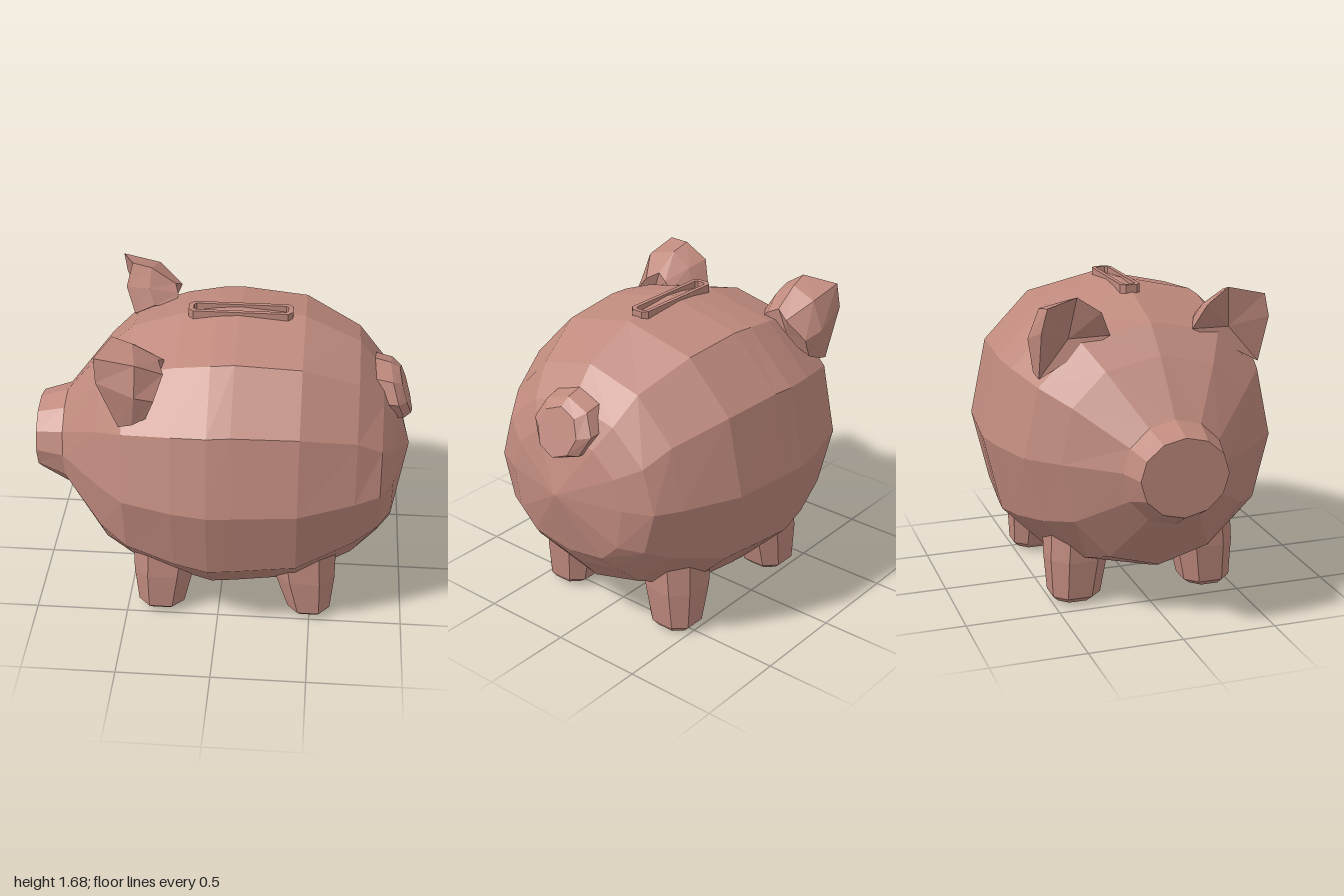
import * as THREE from 'three';

const pink = new THREE.MeshStandardMaterial({ color: 0xc08a7e, flatShading: true });

// Faceted loft through rings of [x, y, z]; each ring runs anticlockwise seen from the end side.
function loft(name, rings, startCentre, endCentre) {
  const pos = [];
  const tri = (a, b, c) => pos.push(...a, ...b, ...c);
  const n = rings[0].length;
  for (let j = 0; j < n; j++) {
    const k = (j + 1) % n;
    for (let i = 0; i < rings.length - 1; i++) {
      const a = rings[i], b = rings[i + 1];
      tri(a[j], a[k], b[j]);
      tri(a[k], b[k], b[j]);
    }
    const last = rings[rings.length - 1];
    if (startCentre) tri(startCentre, rings[0][k], rings[0][j]);
    if (endCentre) tri(endCentre, last[j], last[k]);
  }
  const geo = new THREE.BufferGeometry();
  geo.setAttribute('position', new THREE.Float32BufferAttribute(pos, 3));
  geo.computeVertexNormals();
  const mesh = new THREE.Mesh(geo, pink);
  mesh.name = name;
  return mesh;
}

const angles = (n) => Array.from({ length: n }, (_, i) => (i / n) * Math.PI * 2);
const power = (v, p) => (Math.abs(v) < 1e-6 ? 0 : Math.sign(v) * Math.abs(v) ** p);

// Body and snout: 12-sided sections along x, each
// [x, half width, top, bottom, upper roundness, lower roundness]; below 1 is boxier
function body() {
  const mid = 0.86;
  const sections = [
    [-1.0, 0.23, 1.06, 0.65, 1, 1],
    [-0.85, 0.27, 1.11, 0.56, 1, 1],
    [-0.63, 0.52, 1.38, 0.26, 0.86, 0.95],
    [-0.48, 0.67, 1.52, 0.2, 0.86, 0.95],
    [-0.22, 0.75, 1.605, 0.12, 0.88, 0.92],
    [-0.04, 0.78, 1.635, 0.07, 0.88, 0.92],
    [0.08, 0.77, 1.645, 0.08, 0.88, 0.92],
    [0.42, 0.735, 1.615, 0.12, 0.88, 0.92],
    [0.71, 0.60, 1.48, 0.25, 0.95, 1],
    [0.84, 0.52, 1.32, 0.40, 1, 0.95],
    [0.91, 0.37, 1.18, 0.5, 1, 0.7],
  ];
  const rings = sections.map(([x, w, top, bottom, up, low]) => angles(12).map((a) => {
    const c = Math.cos(a), p = c > 0 ? up : low;
    return [x, mid + power(c, p) * (c > 0 ? top - mid : mid - bottom), w * power(Math.sin(a), p)];
  }));
  return loft('body', rings, [-1, mid, 0], [1, mid, 0]);
}

// Tail: blunt tilted stub on the rump
function tail() {
  const ring = (x, y0, ry, rz) => angles(8).map((a) => {
    const dy = ry * Math.cos(a);
    return [x - dy * 0.32, y0 + dy, rz * Math.sin(a)];
  });
  return loft('tail', [ring(0.7, 1.24, 0.18, 0.21), ring(0.92, 1.21, 0.15, 0.19), ring(0.963, 1.2, 0.125, 0.13)],
    null, [0.963, 1.2, 0]);
}

// Leg: chamfered square stump flaring into the belly; each level is [y, x0, x1, z0, z1]
function leg(name, levels, side) {
  const corners = [[-0.5, 1], [0.5, 1], [1, 0.5], [1, -0.5], [0.5, -1], [-0.5, -1], [-1, -0.5], [-1, 0.5]];
  const order = side > 0 ? corners : corners.slice().reverse();
  const rings = levels.map(([y, x0, x1, z0, z1]) => order.map(([u, v]) => [
    (x0 + x1 + u * (x1 - x0)) / 2, y, side * (z0 + z1 + v * (z1 - z0)) / 2]));
  return loft(name, rings, [(levels[0][1] + levels[0][2]) / 2, 0, side * 0.37], null);
}

// Ear: thick rim, scooped out towards the snout, curving back onto the head
function ear(name, side) {
  const rim = [[-0.5, 1.47, 0.22], [-0.55, 1.6, 0.28], [-0.53, 1.68, 0.4],
    [-0.6, 1.65, 0.57], [-0.59, 1.53, 0.6], [-0.49, 1.27, 0.59]];
  const middle = [[-0.4, 1.5, 0.26], [-0.43, 1.58, 0.3], [-0.43, 1.65, 0.41],
    [-0.4, 1.61, 0.56], [-0.4, 1.46, 0.62], [-0.42, 1.29, 0.6]];
  const back = [[-0.28, 1.49, 0.31], [-0.28, 1.53, 0.35], [-0.3, 1.56, 0.41],
    [-0.27, 1.52, 0.48], [-0.31, 1.42, 0.58], [-0.35, 1.32, 0.58]];
  const flip = ([x, y, z]) => [x, y, z * side];
  const place = (ring) => (side > 0 ? ring : ring.slice().reverse()).map(flip);
  return loft(name, [place(rim), place(middle), place(back)],
    flip([-0.47, 1.46, 0.43]), flip([-0.31, 1.43, 0.46]));
}

// Coin slot: low frame around a narrow opening
function coinSlot() {
  const outline = (target, l, w, c) => {
    [[-l, -w + c], [-l + c, -w], [l - c, -w], [l, -w + c], [l, w - c], [l - c, w], [-l + c, w], [-l, w - c]]
      .forEach(([x, y], i) => (i ? target.lineTo(x, y) : target.moveTo(x, y)));
    target.closePath();
    return target;
  };
  const shape = outline(new THREE.Shape(), 0.27, 0.054, 0.025);
  shape.holes.push(outline(new THREE.Path(), 0.245, 0.032, 0.012));
  const geo = new THREE.ExtrudeGeometry(shape, { depth: 0.05, bevelEnabled: false });
  geo.rotateX(-Math.PI / 2);
  const mesh = new THREE.Mesh(geo, pink);
  mesh.name = 'coinSlot';
  mesh.position.set(0.085, 1.6, 0);
  return mesh;
}

export function createModel() {
  const model = new THREE.Group();
  model.name = 'piggyBank';
  model.add(body(), tail(), coinSlot());
  const frontLeg = [[0.01, -0.41, -0.22, 0.28, 0.47], [0.04, -0.44, -0.19, 0.24, 0.5],
    [0.25, -0.46, -0.14, 0.2, 0.51], [0.46, -0.46, -0.1, 0.17, 0.5]];
  const hindLeg = [[0.01, 0.41, 0.59, 0.28, 0.47], [0.04, 0.38, 0.61, 0.24, 0.5],
    [0.25, 0.31, 0.63, 0.2, 0.51], [0.46, 0.27, 0.63, 0.17, 0.5]];
  for (const [label, side] of [['Near', 1], ['Far', -1]]) {
    model.add(ear('ear' + label, side));
    model.add(leg('frontLeg' + label, frontLeg, side));
    model.add(leg('hindLeg' + label, hindLeg, side));
  }
  return model;
}
